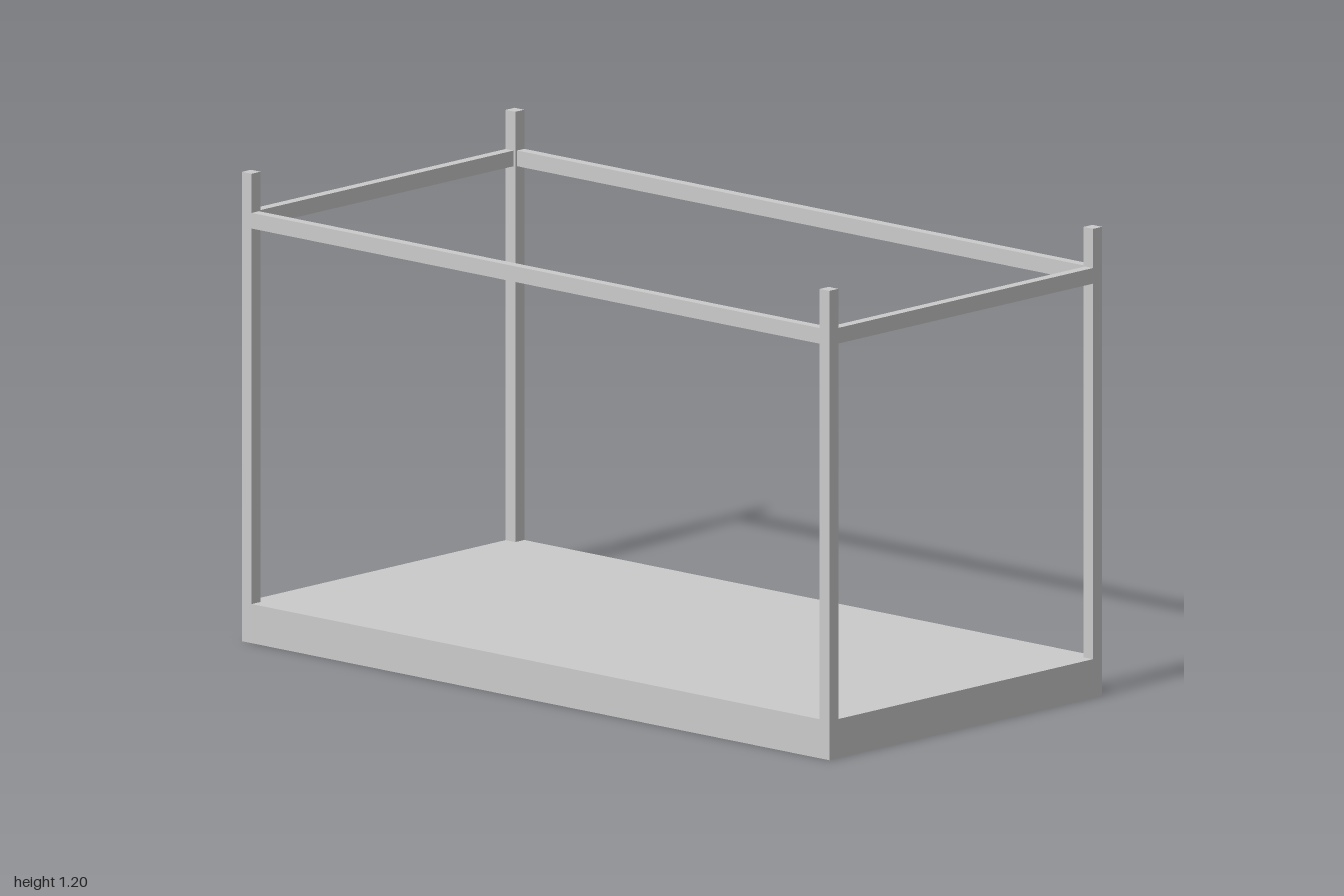
import * as THREE from 'three';
import { toCreasedNormals } from 'three/addons/utils/BufferGeometryUtils.js';

const W = 1, L = 2, H = 1.2;              // overall size
const BASE = 0.1, POCKET_DEPTH = 0.08;    // base slab and its underside pockets
const POST = 0.033, RAIL = 0.027, RAIL_Y = 1.06, RAIL_H = 0.04;

const material = new THREE.MeshStandardMaterial({ color: 0xcccccc });

function add(group, name, geometry, x = 0, y = 0, z = 0) {
  const mesh = new THREE.Mesh(geometry, material);
  mesh.name = name;
  mesh.position.set(x, y, z);
  group.add(mesh);
}

// Rounded square outline centred on (cx, cy)
function roundedSquare(cx, cy, size, r) {
  const h = size / 2 - r;
  const path = new THREE.Path();
  path.absarc(cx + h, cy + h, r, 0, Math.PI / 2);
  path.absarc(cx - h, cy + h, r, Math.PI / 2, Math.PI);
  path.absarc(cx - h, cy - h, r, Math.PI, Math.PI * 1.5);
  path.absarc(cx + h, cy - h, r, Math.PI * 1.5, Math.PI * 2);
  path.closePath();
  return path;
}

// Lower slab pierced by a 5 x 11 grid of pockets without the four corners
function pocketSlab() {
  const shape = new THREE.Shape([
    new THREE.Vector2(-W / 2, -L / 2), new THREE.Vector2(W / 2, -L / 2),
    new THREE.Vector2(W / 2, L / 2), new THREE.Vector2(-W / 2, L / 2),
  ]);
  const pitch = 1 / 6;
  for (let i = -2; i <= 2; i++) {
    for (let j = -5; j <= 5; j++) {
      if (Math.abs(i) === 2 && Math.abs(j) === 5) continue;
      shape.holes.push(roundedSquare(i * pitch, j * pitch, 0.133, 0.033));
    }
  }
  const geometry = new THREE.ExtrudeGeometry(shape, {
    depth: POCKET_DEPTH, bevelEnabled: false, curveSegments: 6,
  });
  geometry.rotateX(-Math.PI / 2);
  return toCreasedNormals(geometry, Math.PI / 6);
}

export function createModel() {
  const group = new THREE.Group();
  group.name = 'postFrameBase';

  // Base: pocketed underside closed by a thin deck
  add(group, 'pocketSlab', pocketSlab());
  const deck = BASE - POCKET_DEPTH;
  add(group, 'deck', new THREE.BoxGeometry(W, deck, L), 0, BASE - deck / 2, 0);

  // Corner posts
  const postH = H - BASE;
  for (const sx of [-1, 1]) {
    for (const sz of [-1, 1]) {
      add(group, 'cornerPost', new THREE.BoxGeometry(POST, postH, POST),
        sx * (W - POST) / 2, BASE + postH / 2, sz * (L - POST) / 2);
    }
  }

  // Upper rails between the posts, flush with the outside
  const y = RAIL_Y + RAIL_H / 2;
  for (const s of [-1, 1]) {
    add(group, 'sideRail', new THREE.BoxGeometry(RAIL, RAIL_H, L - 2 * POST), s * (W - RAIL) / 2, y, 0);
    add(group, 'endRail', new THREE.BoxGeometry(W - 2 * POST, RAIL_H, RAIL), 0, y, s * (L - RAIL) / 2);
  }
  return group;
}
